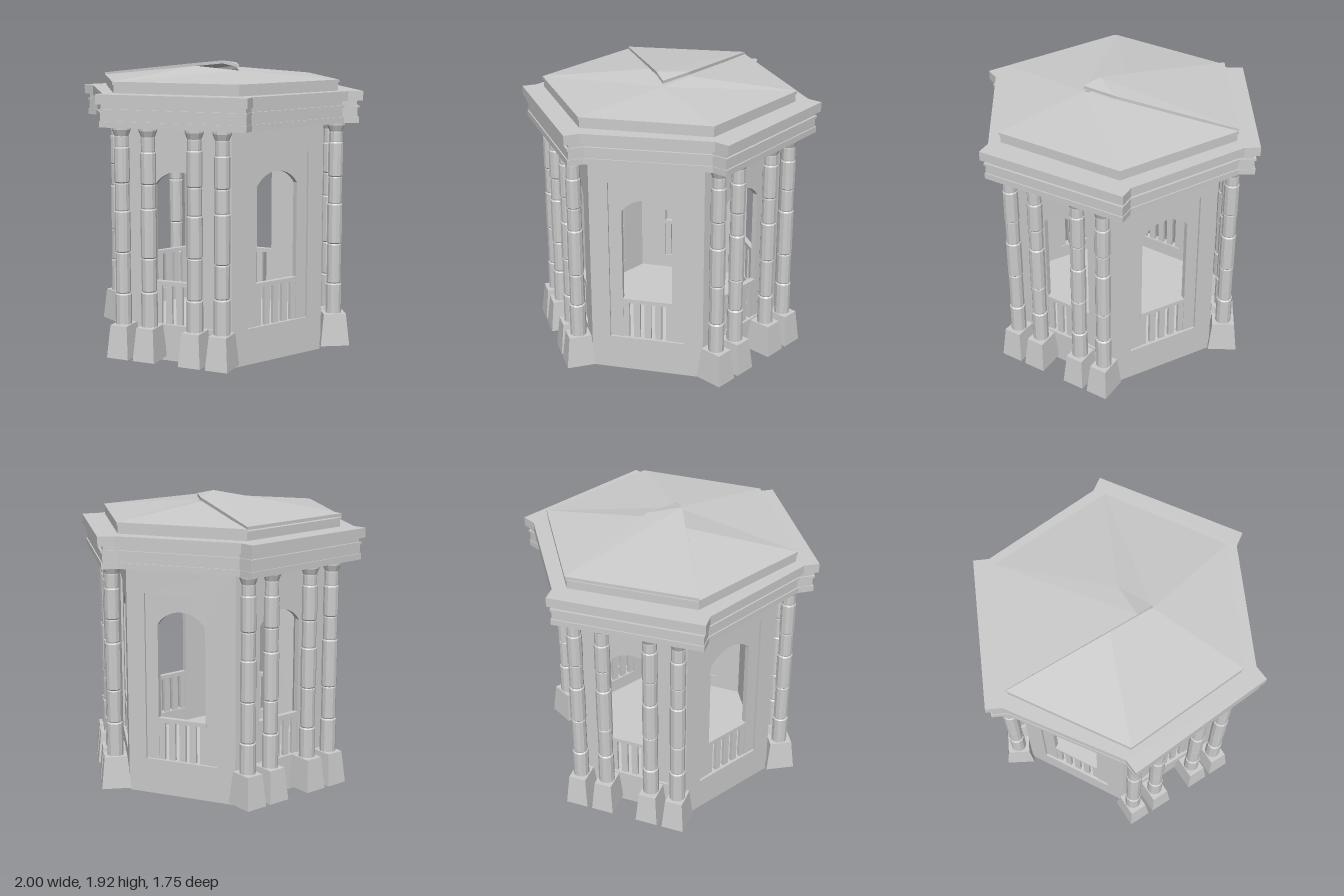
import * as THREE from 'three';

const mat = new THREE.MeshStandardMaterial({ color: 0xcccccc, flatShading: true, side: THREE.DoubleSide });
const SIXTH = Math.PI / 3;
const APOTHEM = 0.65;

function add(parent, name, geometry, x = 0, y = 0, z = 0) {
  const mesh = new THREE.Mesh(geometry, mat);
  mesh.name = name;
  mesh.position.set(x, y, z);
  parent.add(mesh);
  return mesh;
}

function rectangle(target, x0, y0, x1, y1) {
  target.moveTo(x0, y0);
  target.lineTo(x1, y0);
  target.lineTo(x1, y1);
  target.lineTo(x0, y1);
  target.closePath();
  return target;
}

const extrude = (shape, depth) =>
  new THREE.ExtrudeGeometry(shape, { depth, bevelEnabled: false, curveSegments: 10 });

// Wall side: facing layer around a sunken panel, then the arched opening
function wallGeometries() {
  const half = APOTHEM * Math.tan(Math.PI / 6);
  const facing = rectangle(new THREE.Shape(), -half, 0.02, half, 1.54);
  facing.holes.push(rectangle(new THREE.Path(), -0.25, 0.24, 0.25, 1.35));

  const inner = rectangle(new THREE.Shape(), -half + 0.01, 0.02, half - 0.01, 1.54);
  const arch = new THREE.Path();
  arch.moveTo(-0.165, 0.24);
  arch.lineTo(0.165, 0.24);
  arch.absarc(0, 1.045, 0.196, Math.PI / 2 - 1, Math.PI / 2 + 1, false);
  arch.closePath();
  inner.holes.push(arch);
  return [extrude(facing, 0.015), extrude(inner, 0.035)];
}

// Column of stacked drums with narrow joints and a flared capital
function columnGeometry(shift) {
  const joints = [0.24, 0.45 + shift, 0.72 - shift, 0.99 + shift, 1.17, 1.4 - shift, 1.47];
  const points = [new THREE.Vector2(0.056, 0.24)];
  for (let i = 0; i < joints.length - 1; i++) {
    const r = (i % 2 ? 0.049 : 0.053) - i * 0.0008;
    points.push(new THREE.Vector2(r, joints[i] + 0.008), new THREE.Vector2(r, joints[i + 1] - 0.008));
    points.push(new THREE.Vector2(0.044, joints[i + 1]));
  }
  points.push(new THREE.Vector2(0.06, 1.51), new THREE.Vector2(0.06, 1.54));
  return new THREE.LatheGeometry(points, 12);
}

function plinthGeometry() {
  const g = new THREE.CylinderGeometry(0.77 * Math.SQRT2, Math.SQRT2, 0.215, 4);
  g.rotateY(Math.PI / 4);
  g.scale(0.076, 1, 0.0975);
  return g;
}

// Cornice outline: hexagon whose three column sides step forward
function corniceLayer(inset, height) {
  const shape = new THREE.Shape();
  const outer = 0.865 - inset, inner = 0.815 - inset, t = 0.5 - inset * 0.58;
  const step = (inner - t * Math.sin(SIXTH)) / Math.cos(SIXTH);
  const points = [];
  for (let i = 1; i < 6; i += 2) {
    const s = Math.sin(i * SIXTH), c = Math.cos(i * SIXTH);
    for (const [u, d] of [[-t, step], [-t, outer], [t, outer], [t, step]])
      points.push(new THREE.Vector2(s * d + c * u, -(c * d - s * u)));
  }
  shape.setFromPoints(points);
  return extrude(shape, height).rotateX(-Math.PI / 2);
}

// Thin plate: a fan of triangles over a polygon, a parallel underside and a rim
function plate(corners, thickness) {
  const n = corners.length, pos = [];
  const low = corners.map(([x, y, z]) => [x, y - thickness, z]);
  for (let i = 1; i < n - 1; i++) {
    pos.push(...corners[0], ...corners[i], ...corners[i + 1]);
    pos.push(...low[0], ...low[i + 1], ...low[i]);
  }
  for (let i = 0; i < n; i++) {
    const j = (i + 1) % n;
    pos.push(...corners[i], ...low[i], ...low[j], ...corners[i], ...low[j], ...corners[j]);
  }
  const g = new THREE.BufferGeometry();
  g.setAttribute('position', new THREE.Float32BufferAttribute(pos, 3));
  g.computeVertexNormals();
  return g;
}

function addRoof(parent) {
  const roof = new THREE.Group();
  roof.name = 'roof';
  parent.add(roof);
  const eave = [[0.84, 0], [0.41, -0.74], [-0.43, -0.72], [-0.86, 0], [-0.43, 0.73], [0.41, 0.74]];
  const drum = new THREE.Shape(eave.map(([x, z]) => new THREE.Vector2(x * 0.99, -z * 0.99)));
  add(roof, 'roofBase', extrude(drum, 0.06).rotateX(-Math.PI / 2), 0, 1.735, 0);

  const [right, backRight, backLeft, left, frontLeft, frontRight] = eave.map(([x, z]) => [x, 1.81, z]);
  const peakLeft = [-0.14, 1.885, -0.06], peakRight = [0.14, 1.875, 0.02], peakFront = [0, 1.86, 0.22];
  const panels = {
    frontRoofPanel: [frontLeft, frontRight, peakFront],
    frontRightRoofPanel: [right, peakRight, peakFront, frontRight],
    frontLeftRoofPanel: [left, frontLeft, peakFront, peakLeft],
    backLeftRoofPanel: [backLeft, left, peakLeft],
    backRightRoofPanel: [right, backRight, peakRight],
    // Raised back panel whose tip overlaps the others
    backRoofPanel: [[-0.06, 1.925, 0.12], [0, 1.9, 0.22], [0.14, 1.905, 0.02],
      [0.41, 1.825, -0.74], [-0.43, 1.825, -0.72], [-0.14, 1.905, -0.06]],
  };
  for (const [name, corners] of Object.entries(panels)) add(roof, name, plate(corners, 0.02));
}

export function createModel() {
  const model = new THREE.Group();
  model.name = 'pavilion';

  // Body, turned slightly against the roof
  const body = new THREE.Group();
  body.name = 'body';
  body.rotation.y = -0.045;
  model.add(body);

  const radius = APOTHEM / Math.cos(Math.PI / 6);
  const hexagon = (r, h) => new THREE.CylinderGeometry(r, r, h, 6).rotateY(Math.PI / 6);
  add(body, 'foundation', hexagon(radius - 0.005, 0.03), 0, 0.015, 0);
  add(body, 'floor', hexagon(radius - 0.04, 0.12), 0, 0.08, 0);

  const [facing, inner] = wallGeometries();
  const plinth = plinthGeometry();
  const columns = [columnGeometry(0), columnGeometry(0.025)];
  for (let i = 0; i < 6; i++) {
    const side = new THREE.Group();
    side.name = i % 2 ? 'columnSide' : 'plainSide';
    side.rotation.y = i * SIXTH;
    body.add(side);
    add(side, 'wallFacing', facing, 0, 0, APOTHEM - 0.015);
    add(side, 'archedWall', inner, 0, 0, APOTHEM - 0.05);

    // Balustrade in the opening
    add(side, 'rail', new THREE.BoxGeometry(0.34, 0.028, 0.035), 0, 0.51, APOTHEM - 0.03);
    for (let k = 0; k < 5; k++)
      add(side, 'baluster', new THREE.BoxGeometry(0.044, 0.27, 0.022), (k - 2) * 0.073, 0.37, APOTHEM - 0.03);

    // Two pairs of columns on every second side
    if (i % 2) [-0.347, -0.16, 0.16, 0.347].forEach((x, k) => {
      add(side, 'plinth', plinth, x, 0.1375, 0.74);
      add(side, 'column', columns[k % 2], x, 0, 0.74).rotation.y = k;
    });
  }

  // Stepped cornice
  const cornice = new THREE.Group();
  cornice.name = 'cornice';
  cornice.rotation.y = 0.015;
  model.add(cornice);
  for (const [inset, y0, y1] of [[0.022, 1.53, 1.57], [0.03, 1.57, 1.63], [0.02, 1.63, 1.645], [0.035, 1.645, 1.675], [0, 1.675, 1.738]])
    add(cornice, 'corniceLayer', corniceLayer(inset, y1 - y0), 0, y0, 0);

  addRoof(model);
  return model;
}
